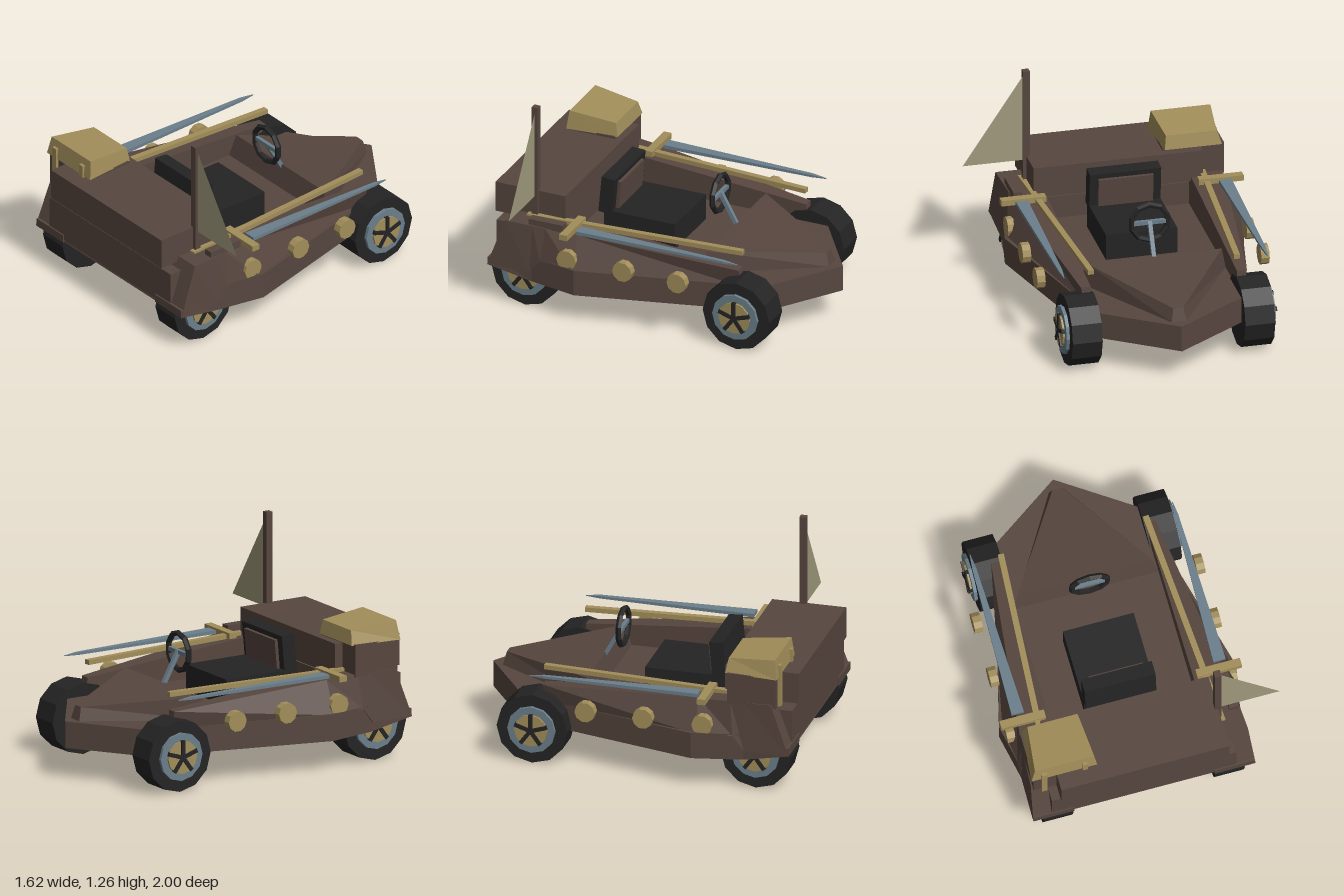
import * as THREE from 'three';

const mat = (name, color, side = THREE.FrontSide) => {
  const m = new THREE.MeshStandardMaterial({ color, side, flatShading: true });
  m.name = name;
  return m;
};

export function createModel() {
  const wood = mat('dark wood', 0x57463f);
  const pale = mat('pale wood', 0xa28e5a);
  const black = mat('black rubber', 0x242424);
  const steel = mat('blue steel', 0x6b7f8b);
  const cloth = mat('flag cloth', 0xa09a7c, THREE.DoubleSide);

  const model = new THREE.Group();
  const kart = new THREE.Group();
  kart.name = 'kart';
  kart.position.x = -0.08; // the flag overhangs one side
  model.add(kart);

  const add = (name, geo, material, x = 0, y = 0, z = 0, parent = kart) => {
    const m = new THREE.Mesh(geo, material);
    m.name = name;
    m.position.set(x, y, z);
    parent.add(m);
    return m;
  };

  // box given by its limits
  const box = (name, material, x0, x1, y0, y1, z0, z1, parent) =>
    add(name, new THREE.BoxGeometry(Math.abs(x1 - x0), y1 - y0, z1 - z0), material,
      (x0 + x1) / 2, (y0 + y1) / 2, (z0 + z1) / 2, parent);

  // solid through four-cornered rings running from -z to +z;
  // corners go counterclockwise seen from +z
  const loft = (rings, mirror = 1) => {
    const r = rings.map(ring => {
      const pts = ring.map(([x, y, z]) => [x * mirror, y, z]);
      return mirror < 0 ? pts.reverse() : pts;
    });
    const pos = [];
    const quad = (a, b, c, d) => pos.push(...a, ...b, ...c, ...a, ...c, ...d);
    for (let i = 0; i < r.length - 1; i++) {
      for (let j = 0; j < 4; j++) {
        const k = (j + 1) % 4;
        quad(r[i][j], r[i][k], r[i + 1][k], r[i + 1][j]);
      }
    }
    const a = r[0], b = r[r.length - 1];
    quad(a[3], a[2], a[1], a[0]);
    quad(b[0], b[1], b[2], b[3]);
    const g = new THREE.BufferGeometry();
    g.setAttribute('position', new THREE.Float32BufferAttribute(pos, 3));
    g.computeVertexNormals();
    return g;
  };
  // symmetric ring: lower and upper half width, height and depth
  const ring = (w0, y0, z0, w1 = w0, y1, z1 = z0) =>
    [[-w0, y0, z0], [w0, y0, z0], [w1, y1, z1], [-w1, y1, z1]];

  // lower hull with pointed nose and rising tail
  add('hull', loft([
    ring(0.002, 0.19, -1, 0.002, 0.35),
    ring(0.44, 0.19, -0.7, 0.44, 0.35),
    ring(0.72, 0.19, 0.4, 0.72, 0.35),
    ring(0.66, 0.19, 0.7, 0.66, 0.35),
    ring(0.67, 0.245, 0.97, 0.66, 0.31, 0.955),
  ]), wood);

  // wedge hood on the nose
  add('hood', loft([
    ring(0.045, 0.35, -0.93, 0.03, 0.43, -0.91),
    ring(0.44, 0.35, -0.285, 0.41, 0.49, -0.315),
  ]), wood);

  // tail panel and trunk
  box('tailPanel', wood, -0.56, 0.56, 0.26, 0.49, 0.6, 0.972);
  box('trunk', wood, -0.51, 0.51, 0.52, 0.71, 0.55, 1);

  // crate with a tapered lid and two straps
  box('crate', wood, -0.65, -0.28, 0.53, 0.725, 0.6, 0.895);
  add('crateLid', loft([
    [[-0.635, 0.72, 0.585], [-0.29, 0.72, 0.585], [-0.3, 0.805, 0.6], [-0.605, 0.805, 0.6]],
    [[-0.665, 0.72, 0.905], [-0.265, 0.72, 0.905], [-0.28, 0.835, 0.89], [-0.64, 0.835, 0.89]],
  ]), pale);
  box('crateStrap', pale, -0.605, -0.57, 0.53, 0.79, 0.89, 0.915);
  box('crateStrap', pale, -0.355, -0.325, 0.705, 0.79, 0.89, 0.915);

  // seat
  box('seatCushion', black, -0.215, 0.215, 0.35, 0.51, -0.02, 0.44);
  const back = new THREE.Group();
  back.name = 'seatBack';
  back.position.set(0, 0.49, 0.43);
  back.rotation.x = -0.09;
  kart.add(back);
  box('seatBackFrame', black, -0.215, 0.215, 0, 0.23, -0.04, 0.045, back);
  box('seatBackPad', wood, -0.165, 0.165, 0.02, 0.2, -0.06, -0.04, back);

  // steering wheel, crossbar and column
  add('steeringWheel', new THREE.TorusGeometry(0.112, 0.018, 5, 10), black, 0, 0.66, -0.21)
    .rotation.z = Math.PI / 10;
  box('steeringCrossbar', steel, -0.1, 0.1, 0.648, 0.672, -0.222, -0.2);
  const column = add('steeringColumn', new THREE.BoxGeometry(0.025, 0.22, 0.025), steel, 0, 0.57, -0.265);
  column.rotation.x = Math.atan2(0.1, 0.18);

  // wheel with steel rim, pale hub and five spokes; s is the outward side
  const disc = (r, h, n) =>
    new THREE.CylinderGeometry(r, r, h, n).rotateZ(Math.PI / 2);
  const wheel = (s, z) => {
    const g = new THREE.Group();
    g.name = 'wheel';
    g.position.set(s * 0.52, 0.215, z);
    kart.add(g);
    add('tire', disc(0.215, 0.18, 12), black, 0, 0, 0, g);
    add('rim', disc(0.145, 0.05, 12), steel, s * 0.085, 0, 0, g);
    add('hub', disc(0.1, 0.05, 12), pale, s * 0.097, 0, 0, g);
    for (let i = 0; i < 5; i++) {
      const geo = new THREE.BoxGeometry(0.03, 0.1, 0.024);
      geo.translate(0, 0.052, 0);
      add('spoke', geo, black, s * 0.115, 0, 0, g).rotation.x = i * Math.PI * 2 / 5;
    }
  };

  for (const s of [-1, 1]) {
    wheel(s, -0.595);
    wheel(s, 0.765);

    // raised side that grows into the rear fender
    const side = (y0, z0, out0, y1, z1, out1) =>
      [[0.44, y0, z0], [out0, y0, z0], [out1, y1, z1], [0.44, y1, z1]];
    add('sidePanel', loft([
      side(0.34, -0.57, 0.475, 0.455, -0.56, 0.5),
      side(0.34, 0.42, 0.705, 0.535, 0.42, 0.62),
      side(0.34, 0.64, 0.675, 0.545, 0.62, 0.645),
      side(0.25, 0.71, 0.67, 0.548, 0.7, 0.65),
      side(0.25, 0.98, 0.675, 0.555, 0.87, 0.66),
    ], s), wood);
    box('fenderLip', wood, s * 0.425, s * 0.67, 0.245, 0.295, 0.9, 0.98);

    // round lamps along the flank
    for (const z of [0.46, 0.1, -0.25]) {
      add('sideLamp', disc(0.062, 0.05, 10), pale, s * 0.675, 0.395, z);
    }

    // pole rail lying along the side
    const rail = add('rail', new THREE.BoxGeometry(0.036, 0.028, 1.35), pale, s * 0.485, 0.549, 0.11);
    rail.rotation.y = s * Math.atan2(0.09, 1.34);
    box('crossbar', pale, s * 0.46, s * 0.73, 0.54, 0.575, 0.44, 0.49);

    // tapered blade beside the rail
    add('blade', loft([
      [[0.612, 0.553, -0.61], [0.616, 0.553, -0.61], [0.616, 0.557, -0.61], [0.612, 0.557, -0.61]],
      [[0.602, 0.55, -0.52], [0.626, 0.55, -0.52], [0.626, 0.565, -0.52], [0.602, 0.565, -0.52]],
      [[0.575, 0.55, 0.42], [0.65, 0.55, 0.42], [0.65, 0.572, 0.42], [0.575, 0.572, 0.42]],
    ], s), steel);
  }
  box('fenderBlock', wood, 0.585, 0.64, 0.54, 0.585, 0.51, 0.73);

  // flagpole and pennant
  box('flagpole', wood, 0.49, 0.53, 0.5, 1.26, 0.72, 0.76);
  const pennant = new THREE.Shape([[0.53, 1.22], [0.53, 0.68], [0.89, 0.68]]
    .map(([x, y]) => new THREE.Vector2(x, y)));
  add('flag', new THREE.ShapeGeometry(pennant), cloth, 0, 0, 0.74);

  return model;
}
